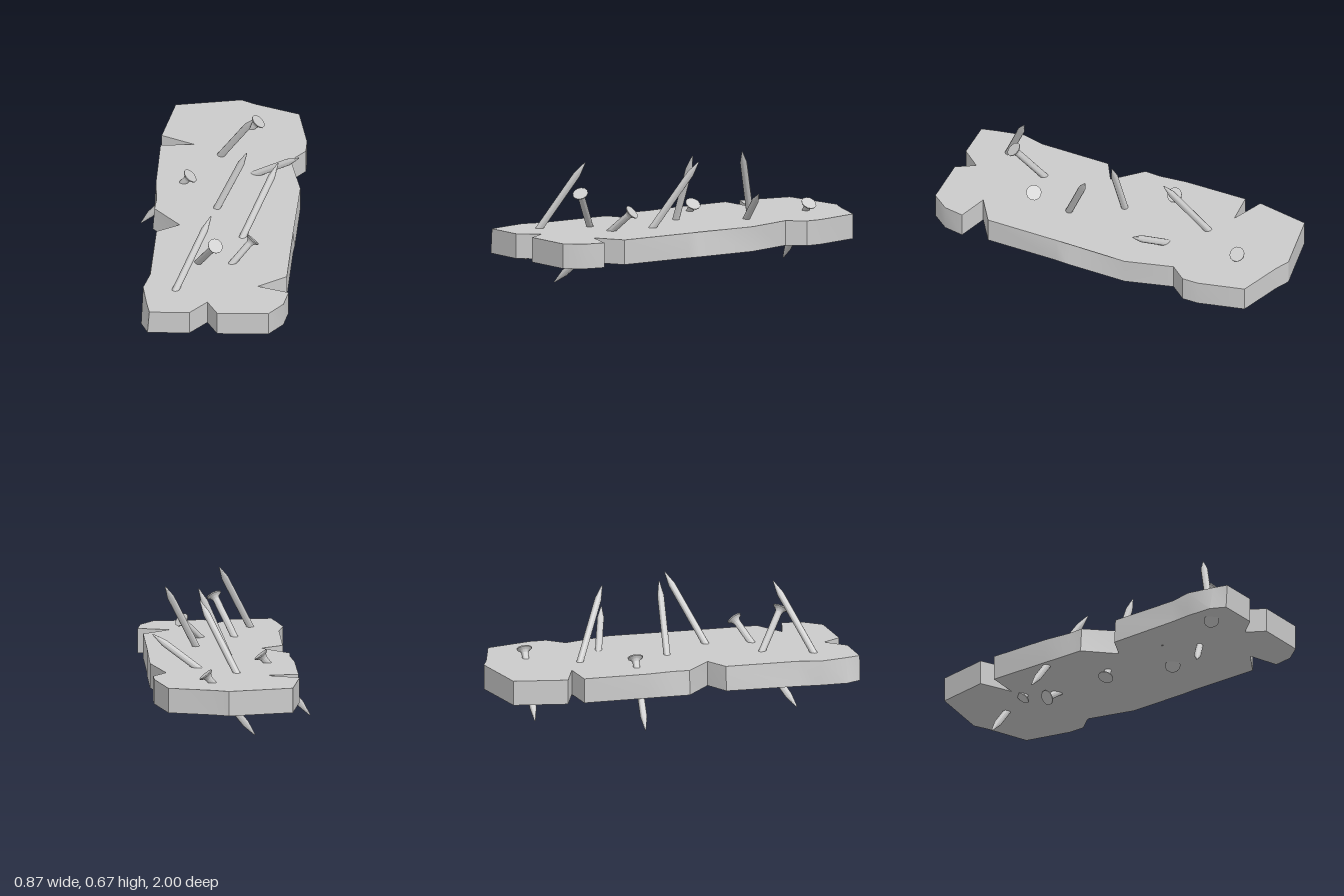
import * as THREE from 'three';
import { toCreasedNormals } from 'three/addons/utils/BufferGeometryUtils.js';

const BOTTOM = 0.17, TOP = 0.305;

// Broken plank outline: x, z, and optional inward lean of the top edge
const OUTLINE = [
  [0.05, -1], [0.13, -0.965], [0.37, -0.89], [0.43, -0.64], [0.43, -0.55], [0.355, -0.46],
  [0.425, -0.2], [0.42, 0.14, -0.03], [0.415, 0.21], [0.41, 0.62], [0.26, 0.72], [0.43, 0.765],
  [0.41, 0.875], [0.335, 0.97], [0.06, 0.985], [0, 0.885], [-0.09, 0.99], [-0.315, 1, 0.01],
  [-0.355, 0.92, 0.03], [-0.355, 0.77], [-0.345, 0.65, 0.02], [-0.33, 0.25, 0.01], [-0.2, 0.18],
  [-0.355, 0.04, 0.01], [-0.355, -0.05, 0.015], [-0.355, -0.2], [-0.355, -0.55],
  [-0.175, -0.57], [-0.355, -0.64], [-0.3, -0.93],
];

// Nails: centre of head, then tip
const NAILS = [
  // driven up from below
  [[-0.25, 0.155, 0.85], [0, 0.67, 0.6]],
  [[0.075, 0.155, 0.335], [0.325, 0.67, 0.083]],
  [[-0.09, 0.12, 0.005], [0.15, 0.672, 0.005]],
  [[-0.1, 0.155, -0.555], [0.162, 0.668, -0.31]],
  [[-0.07, 0.125, -0.41], [0.415, 0.475, -0.245]],
  // driven down from above
  [[0.027, 0.51, 0.65], [-0.145, 0.165, 0.43]],
  [[0.215, 0.415, 0.44], [-0.17, 0.003, 0.687]],
  [[-0.17, 0.35, -0.215], [-0.437, 0.015, -0.23]],
  [[0.16, 0.35, -0.745], [-0.107, 0.015, -0.757]],
];

function plankGeometry() {
  const shape = new THREE.Shape(OUTLINE.map(([x, z]) => new THREE.Vector2(x, -z)));
  const geo = new THREE.ExtrudeGeometry(shape, { depth: TOP - BOTTOM, bevelEnabled: false });
  geo.rotateX(-Math.PI / 2).translate(0, BOTTOM, 0);
  // lean the splintered edges inward at the top
  const pos = geo.attributes.position;
  for (let i = 0; i < pos.count; i++) {
    if (pos.getY(i) < TOP - 0.01) continue;
    const x = pos.getX(i), z = pos.getZ(i);
    const p = OUTLINE.find(q => Math.hypot(q[0] - x, q[1] - z) < 1e-4);
    if (p && p[2]) pos.setX(i, x + p[2]);
  }
  return toCreasedNormals(geo, 0.5);
}

// Head at y = 0, point at y = length
function nailGeometry(length) {
  const r = 0.019;
  const profile = [
    [0, 0], [0.042, 0], [0.041, 0.006], [0.026, 0.016], [r, 0.03],
    [r, length - 0.08], [0.003, length - 0.002], [0, length],
  ].map(([x, y]) => new THREE.Vector2(x, y));
  return toCreasedNormals(new THREE.LatheGeometry(profile, 12), 0.6);
}

export function createModel() {
  const model = new THREE.Group();
  model.name = 'nailedPlank';
  const material = new THREE.MeshStandardMaterial({ color: 0xcccccc });

  const plank = new THREE.Mesh(plankGeometry(), material);
  plank.name = 'plank';
  model.add(plank);

  const up = new THREE.Vector3(0, 1, 0);
  NAILS.forEach(([head, tip], i) => {
    const start = new THREE.Vector3(...head);
    const axis = new THREE.Vector3(...tip).sub(start);
    const nail = new THREE.Mesh(nailGeometry(axis.length()), material);
    nail.name = `nail${i + 1}`;
    nail.position.copy(start);
    nail.quaternion.setFromUnitVectors(up, axis.normalize());
    model.add(nail);
  });
  return model;
}
